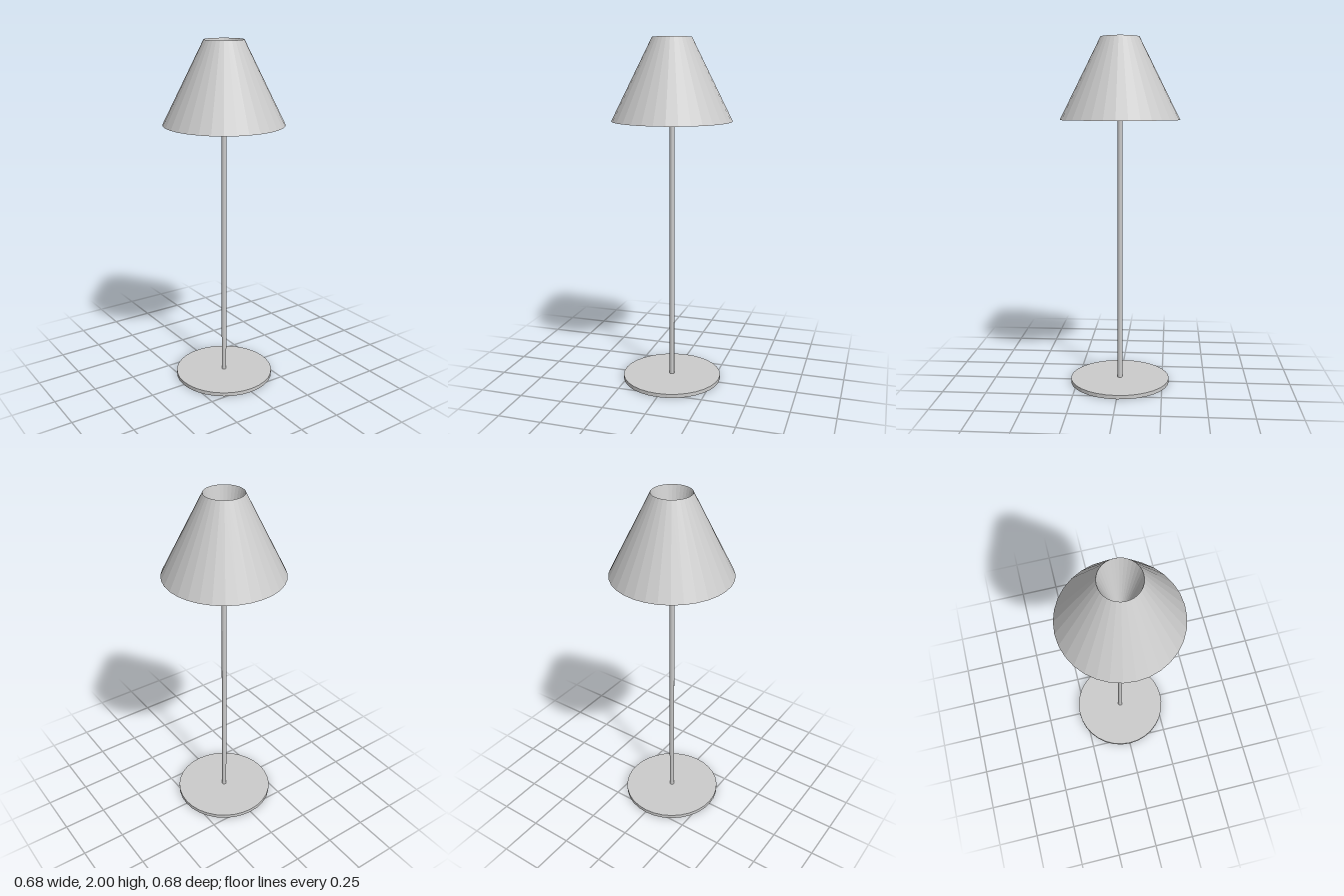
import * as THREE from 'three';

const material = new THREE.MeshStandardMaterial({ color: 0xcccccc, flatShading: true });

function addPart(group, name, geometry, y = 0) {
  const mesh = new THREE.Mesh(geometry, material);
  mesh.name = name;
  mesh.position.y = y;
  group.add(mesh);
}

export function createModel() {
  const lamp = new THREE.Group();
  lamp.name = 'floorLamp';

  // Flat round foot
  const baseHeight = 0.022;
  addPart(lamp, 'base', new THREE.CylinderGeometry(0.29, 0.29, baseHeight, 32), baseHeight / 2);

  // Slender pole, its tip just inside the shade
  const poleTop = 1.574;
  addPart(lamp, 'pole', new THREE.CylinderGeometry(0.014, 0.014, poleTop - 0.01, 16), (poleTop + 0.01) / 2);

  // Shade: flat underside, sloping outer wall, funnel falling back to the pole
  const profile = [[0, 1.54], [0.341, 1.54], [0.11, 2], [0, 1.54]]
    .map(([r, y]) => new THREE.Vector2(r, y));
  addPart(lamp, 'shade', new THREE.LatheGeometry(profile, 32));

  return lamp;
}
